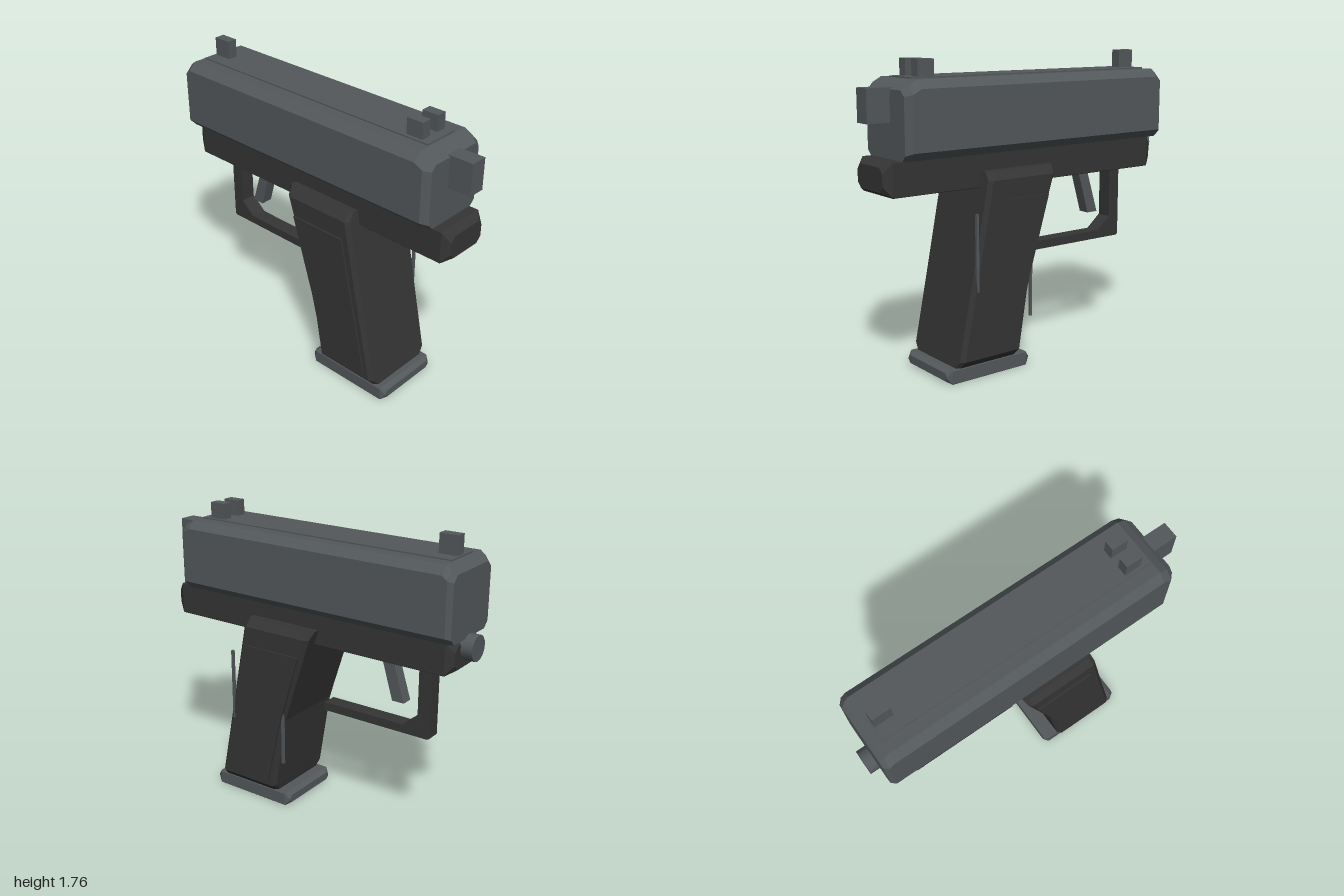
import * as THREE from 'three';

const steel = new THREE.MeshStandardMaterial({ color: 0x53585b });
steel.name = 'slate grey';
const polymer = new THREE.MeshStandardMaterial({ color: 0x353535 });
polymer.name = 'charcoal';

// Corner-cut rectangle as 8 [u, v] points
function cutRect(u0, u1, v0, v1, c) {
  return [[u0 + c, v0], [u1 - c, v0], [u1, v0 + c], [u1, v1 - c],
    [u1 - c, v1], [u0 + c, v1], [u0, v1 - c], [u0, v0 + c]];
}

// Closed faceted solid through rings of equal point count
function loft(rings) {
  const tris = [];
  const n = rings[0].length, last = rings.length - 1;
  for (let r = 0; r < last; r++) {
    for (let i = 0; i < n; i++) {
      const j = (i + 1) % n;
      const a = rings[r][i], b = rings[r][j], c = rings[r + 1][j], d = rings[r + 1][i];
      tris.push([a, b, c], [a, c, d]);
    }
  }
  for (let i = 1; i < n - 1; i++) {
    tris.push([rings[0][0], rings[0][i + 1], rings[0][i]]);
    tris.push([rings[last][0], rings[last][i], rings[last][i + 1]]);
  }
  // Turn the faces outward
  let volume = 0;
  for (const [a, b, c] of tris) {
    volume += new THREE.Vector3(...a).dot(new THREE.Vector3(...b).cross(new THREE.Vector3(...c)));
  }
  if (volume < 0) tris.forEach((t) => t.reverse());
  const geometry = new THREE.BufferGeometry();
  geometry.setAttribute('position', new THREE.Float32BufferAttribute(tris.flat(2), 3));
  geometry.computeVertexNormals();
  return geometry;
}

// Loft along z; each section is [z, halfWidth, y0, y1, cut]
function loftZ(sections) {
  return loft(sections.map(([z, w, y0, y1, c]) => cutRect(-w, w, y0, y1, c).map(([x, y]) => [x, y, z])));
}

// Straight bar whose ends taper to cut corners
function taperedBar(w, y0, y1, z0, z1, t) {
  const i = t * 0.6;
  return loftZ([
    [z1, w - i, y0 + i, y1 - i, t * 0.7], [z1 - t, w, y0, y1, 0.003],
    [z0 + t, w, y0, y1, 0.003], [z0, w - i, y0 + i, y1 - i, t * 0.7],
  ]);
}

// Flat side outline of [z, y] points, extruded between two x positions
function sidePlate(points, x0, x1) {
  return loft([x0, x1].map((x) => points.map(([z, y]) => [x, y, z])));
}

function box(x0, x1, y0, y1, z0, z1) {
  return new THREE.BoxGeometry(x1 - x0, y1 - y0, z1 - z0)
    .translate((x0 + x1) / 2, (y0 + y1) / 2, (z0 + z1) / 2);
}

export function createModel() {
  const model = new THREE.Group();
  const add = (name, geometry, material) => {
    const mesh = new THREE.Mesh(geometry, material);
    mesh.name = name;
    model.add(mesh);
  };

  // Upper slide with bevelled ends
  add('slide', loftZ([
    [0.865, 0.19, 1.24, 1.6, 0.03], [0.83, 0.225, 1.24, 1.625, 0.045],
    [0.78, 0.225, 1.24, 1.652, 0.045], [-0.89, 0.225, 1.24, 1.652, 0.045],
    [-0.92, 0.225, 1.24, 1.628, 0.045], [-0.945, 0.2, 1.24, 1.605, 0.035],
  ]), steel);
  add('topRib', box(-0.11, 0.11, 1.64, 1.659, -0.88, 0.77), steel);
  add('endBlock', box(-0.05, 0.05, 1.43, 1.61, 0.8, 1), steel);

  // Sights
  for (const side of [-1, 1]) {
    add(side > 0 ? 'leftSight' : 'rightSight',
      box(-0.03, 0.03, 1.63, 1.75, 0.62, 0.72).translate(side * 0.06, 0, 0), steel);
  }
  add('singleSight', box(-0.03, 0.03, 1.63, 1.765, -0.87, -0.76), steel);

  // Lower frame and round end
  add('frame', taperedBar(0.155, 1.055, 1.24, -0.935, 0.965, 0.045), polymer);
  add('roundEnd', new THREE.CylinderGeometry(0.072, 0.072, 0.12, 16)
    .rotateX(Math.PI / 2).translate(0, 1.187, -0.94), steel);

  // Raked grip: [y, halfWidth, zBack, zFront]
  add('grip', loft([
    [0.08, 0.21, 0.17, 0.58], [0.12, 0.245, 0.163, 0.572], [0.57, 0.245, 0.088, 0.48],
    [1.1, 0.245, -0.085, 0.374], [1.145, 0.21, -0.1, 0.365],
  ].map(([y, w, z0, z1]) => cutRect(-w, w, z0, z1, 0.022).map(([x, z]) => [x, y, z]))), polymer);

  // Raised side panels
  const panel = [[0.335, 0.99], [-0.025, 0.99], [0.115, 0.53], [0.205, 0.16], [0.515, 0.16]];
  add('leftGripPanel', sidePlate(panel, 0.235, 0.254), polymer);
  add('rightGripPanel', sidePlate(panel, -0.254, -0.235), polymer);

  // Slim upright strips beside the grip
  add('frontStrip', box(0.23, 0.246, 0.5, 0.93, 0.453, 0.467), steel);
  add('backStrip', box(0.23, 0.246, 0.3, 0.73, 0.088, 0.102), steel);

  // Grip base
  add('basePlate', taperedBar(0.215, 0, 0.08, 0.08, 0.64, 0.028), steel);

  // Trigger and its guard
  add('trigger', sidePlate([[-0.43, 1.07], [-0.5, 1.07], [-0.59, 0.785], [-0.515, 0.785]], -0.035, 0.035), steel);
  add('guardPost', box(-0.045, 0.045, 0.62, 1.07, -0.76, -0.685), polymer);
  add('guardBar', box(-0.045, 0.045, 0.615, 0.665, -0.75, -0.065), polymer);
  add('guardBrace', sidePlate([[-0.59, 0.663], [-0.7, 0.755], [-0.758, 0.67], [-0.715, 0.618]], -0.047, 0.047), polymer);

  return model;
}
